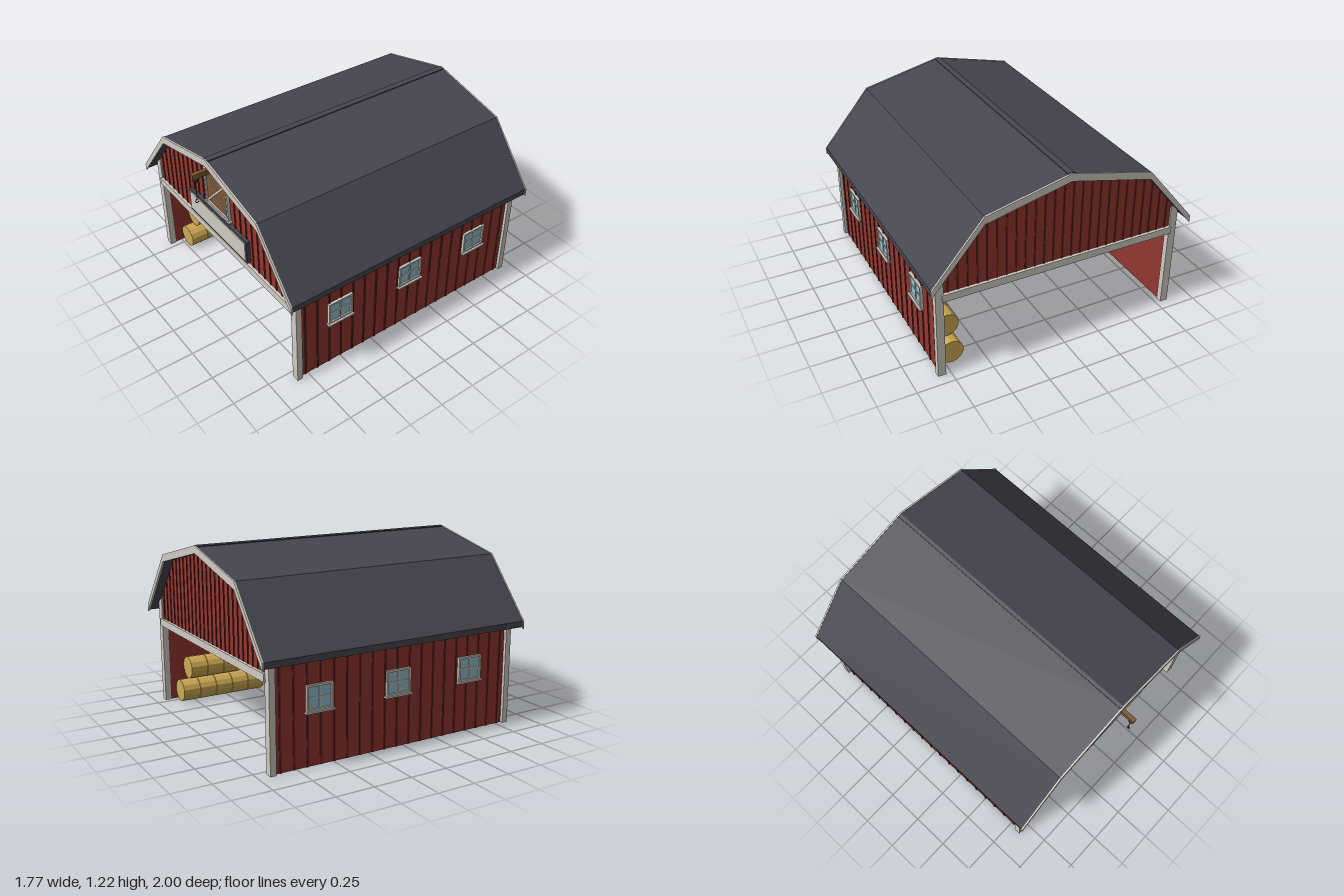
import * as THREE from 'three';

const mat = (name, color, side = THREE.FrontSide) => {
  const m = new THREE.MeshStandardMaterial({ color, side });
  m.name = name;
  return m;
};

export function createModel() {
  const red = mat('barn red', 0x93372f);
  const darkRed = mat('batten red', 0x66251f);
  const slate = mat('roof slate', 0x464650);
  const trim = mat('pale trim', 0xd0ccc3);
  const glass = mat('window glass', 0x96c0d0);
  const wood = mat('brown wood', 0x7d5833);
  const straw = mat('straw', 0xcdaa52);
  const iron = mat('dark iron', 0x33343a);

  const add = (parent, name, geo, material) => {
    const m = new THREE.Mesh(geo, material);
    m.name = name;
    parent.add(m);
    return m;
  };
  // Box given by its min and max on each axis
  const box = (parent, name, material, x0, x1, y0, y1, z0, z1) => {
    const m = add(parent, name, new THREE.BoxGeometry(x1 - x0, y1 - y0, z1 - z0), material);
    m.position.set((x0 + x1) / 2, (y0 + y1) / 2, (z0 + z1) / 2);
    return m;
  };
  // Outline in x, y pushed from z0 to z1
  const prism = (parent, name, material, pts, z0, z1) => {
    const shape = new THREE.Shape(pts.map(([x, y]) => new THREE.Vector2(x, y)));
    const geo = new THREE.ExtrudeGeometry(shape, { depth: z1 - z0, bevelEnabled: false });
    geo.translate(0, 0, z0);
    return add(parent, name, geo, material);
  };

  // Gambrel line: height of the roof's top at a given x
  const roofY = (x) => {
    const a = Math.abs(x);
    return a < 0.55 ? 1.22 - a * (0.13 / 0.55) : 1.09 - (a - 0.55) * (0.4 / 0.335);
  };
  const band = (top, bottom, half) => {
    const xs = [-half, -0.55, 0, 0.55, half];
    return [...xs.map((x) => [x, roofY(x) - bottom]),
      ...xs.reverse().map((x) => [x, roofY(x) - top])];
  };

  const model = new THREE.Group();
  model.name = 'barn';
  const barn = new THREE.Group();
  barn.name = 'barnBody';
  barn.position.z = -0.045;
  model.add(barn);

  // Roof and ridge cap
  prism(barn, 'roof', slate, band(0.003, 0.043, 0.881), -0.94, 0.94);
  prism(barn, 'ridgeCap', slate,
    [[-0.022, 1.205], [0.022, 1.205], [0.022, 1.218], [0, 1.223], [-0.022, 1.218]], -0.94, 0.94);

  // Gable ends, alike at the front and back
  const makeEnd = (name) => {
    const g = new THREE.Group();
    g.name = name;
    barn.add(g);
    prism(g, 'bargeBoard', trim, band(0, 0.05, 0.885), 0.94, 0.95);
    const under = (x) => [x, roofY(x) - 0.04];
    prism(g, 'gableWall', red,
      [[-0.8, 0.56], [0.8, 0.56], under(0.8), under(0.55), under(0), under(-0.55), under(-0.8)],
      0.85, 0.875);
    for (let i = -12; i <= 12; i++) {
      const x = i * 0.0625;
      box(g, 'gableBatten', darkRed, x - 0.005, x + 0.005, 0.6, roofY(x) - 0.045, 0.874, 0.88);
    }
    box(g, 'crossBeam', trim, -0.793, 0.793, 0.55, 0.6, 0.84, 0.895);
    for (const s of [-1, 1]) {
      const pts = [[0.783, 0], [0.835, 0], [0.835, roofY(0.835) - 0.042], [0.81, 0.735], [0.783, 0.735]]
        .map(([x, y]) => [s * x, y]);
      prism(g, 'cornerPost', trim, pts, 0.845, 0.885);
    }
    return g;
  };
  const front = makeEnd('frontEnd');
  makeEnd('backEnd').rotation.y = Math.PI;

  // Side walls with battens and windows, built facing +x
  for (const s of [1, -1]) {
    const side = new THREE.Group();
    side.name = s > 0 ? 'leftSide' : 'rightSide';
    if (s < 0) side.rotation.y = Math.PI;
    barn.add(side);
    box(side, 'sideWall', red, 0.79, 0.815, 0, 0.735, -0.85, 0.85);
    for (let i = -9; i <= 9; i++) {
      const z = i * 0.09 + (i === 0 ? 0.001 : 0);
      box(side, 'sideBatten', darkRed, 0.814, 0.82, 0, 0.72, z - 0.006, z + 0.006);
    }
    for (const z of [-0.553, 0, 0.553]) {
      const w = new THREE.Group();
      w.name = 'window';
      w.position.set(0, 0.42, z);
      side.add(w);
      box(w, 'pane', glass, 0.815, 0.823, -0.075, 0.075, -0.085, 0.085);
      for (const k of [-1, 1]) {
        box(w, 'frameUpright', trim, 0.815, 0.833, -0.08, 0.08, k * 0.0835 - 0.0065, k * 0.0835 + 0.0065);
        box(w, 'frameRail', trim, 0.815, 0.832, k * 0.0735 - 0.0065, k * 0.0735 + 0.0065, -0.08, 0.08);
      }
      box(w, 'glazingBar', trim, 0.82, 0.828, -0.075, 0.075, -0.004, 0.004);
      box(w, 'glazingBar', trim, 0.82, 0.827, -0.004, 0.004, -0.08, 0.08);
      box(w, 'sill', trim, 0.815, 0.845, -0.09, -0.079, -0.097, 0.097);
    }
  }

  // Blank sign board
  box(front, 'signBorder', slate, -0.343, 0.343, 0.62, 0.785, 0.875, 0.9);
  box(front, 'signPanel', trim, -0.33, 0.33, 0.635, 0.77, 0.898, 0.906);

  // Hayloft door with crossed braces
  box(front, 'loftDoor', wood, -0.13, 0.13, 0.812, 1.078, 0.875, 0.884);
  for (const s of [-1, 1]) {
    box(front, 'loftStile', trim, s * 0.128 - 0.0075, s * 0.128 + 0.0075, 0.81, 1.08, 0.875, 0.895);
    const brace = add(front, 'loftBrace', new THREE.BoxGeometry(0.35, 0.014, 0.006), trim);
    brace.position.set(0, 0.945, 0.886 + s * 0.001);
    brace.rotation.z = s * Math.atan2(0.25, 0.245);
  }
  box(front, 'loftRail', trim, -0.125, 0.125, 0.81, 0.823, 0.875, 0.894);
  box(front, 'loftRail', trim, -0.125, 0.125, 1.067, 1.08, 0.875, 0.894);
  box(front, 'loftSill', trim, -0.15, 0.15, 0.798, 0.81, 0.875, 0.9);

  // Hoist beam, pulley block, rope and hook
  box(front, 'hoistBeam', wood, -0.014, 0.014, 1.115, 1.15, 0.87, 1.045);
  box(front, 'pulleyBlock', iron, -0.011, 0.011, 1.085, 1.117, 1.008, 1.034);
  add(front, 'rope', new THREE.CylinderGeometry(0.003, 0.003, 0.13, 6), iron).position.set(0, 1.022, 1.021);
  const hook = add(front, 'hook', new THREE.TorusGeometry(0.012, 0.0035, 6, 12, Math.PI * 1.4), iron);
  hook.rotation.set(0, Math.PI / 2, 0);
  hook.rotateZ(Math.PI / 2);
  hook.position.set(0, 0.947, 1.021);

  // Round bales in two stacked rows on each side
  const baleGeo = new THREE.CylinderGeometry(0.079, 0.079, 0.121, 14).toNonIndexed();
  baleGeo.computeVertexNormals();
  baleGeo.rotateX(Math.PI / 2);
  const baleRow = (x, y, zStart, dir, count) => {
    for (let i = 0; i < count; i++) {
      add(model, 'strawBale', baleGeo, straw).position.set(x, y, zStart + dir * (i + 0.5) * 0.125);
    }
  };
  baleRow(-0.707, 0.08, 0.74, -1, 4);
  baleRow(-0.707, 0.239, 0.677, -1, 2);
  baleRow(0.707, 0.08, -0.85, 1, 5);
  baleRow(0.707, 0.239, -0.787, 1, 3);

  return model;
}
